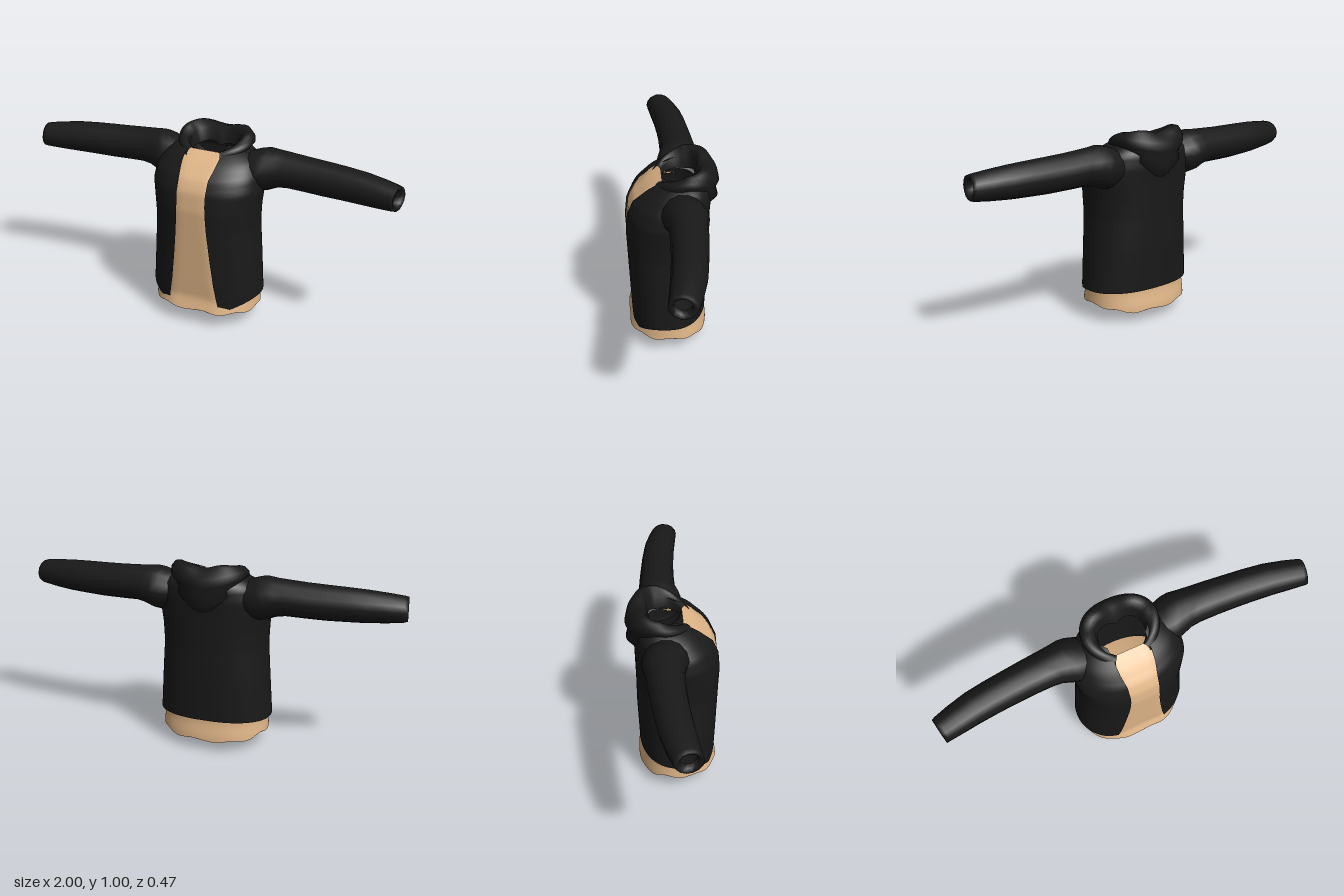
import * as THREE from 'three';

const jacketBlack = new THREE.MeshStandardMaterial({ name: 'jacket black', color: 0x191919, side: THREE.DoubleSide });
const shirtTan = new THREE.MeshStandardMaterial({ name: 'shirt tan', color: 0xe0b688, side: THREE.DoubleSide });
const liningBrown = new THREE.MeshStandardMaterial({ name: 'lining brown', color: 0x8a5c3a, side: THREE.DoubleSide });

const { lerp, smoothstep, clamp } = THREE.MathUtils;

// Grid surface from point(row, col); closed wraps the columns, skip drops quads
function surface(name, material, rows, cols, point, closed = false, skip = null) {
  const pos = [], index = [], n = closed ? cols : cols + 1;
  for (let i = 0; i <= rows; i++)
    for (let j = 0; j < n; j++) pos.push(...point(i, j));
  for (let i = 0; i < rows; i++)
    for (let j = 0; j < cols; j++) {
      const a = i * n + j, b = i * n + (j + 1) % n, c = a + n, d = b + n;
      if (skip) {
        const mid = [0, 1, 2].map(k => (pos[a * 3 + k] + pos[b * 3 + k] + pos[c * 3 + k] + pos[d * 3 + k]) / 4);
        if (skip(...mid)) continue;
      }
      index.push(a, b, d, a, d, c);
    }
  const geo = new THREE.BufferGeometry();
  geo.setAttribute('position', new THREE.Float32BufferAttribute(pos, 3));
  geo.setIndex(index);
  geo.computeVertexNormals();
  const mesh = new THREE.Mesh(geo, material);
  mesh.name = name;
  return mesh;
}

// Linear lookup in a table whose first column is the key
function lookup(table, key) {
  let i = 0;
  while (i < table.length - 2 && key > table[i + 1][0]) i++;
  const a = table[i], b = table[i + 1];
  const t = clamp((key - a[0]) / (b[0] - a[0]), 0, 1);
  return a.slice(1).map((v, k) => lerp(v, b[k + 1], t));
}

// Torso: height, half width, front z, back z
const TORSO = [
  [0.05, 0.295, 0.22, -0.168], [0.17, 0.30, 0.23, -0.172], [0.4, 0.285, 0.237, -0.182],
  [0.55, 0.275, 0.242, -0.184], [0.65, 0.28, 0.246, -0.187], [0.75, 0.292, 0.236, -0.19],
  [0.82, 0.282, 0.206, -0.195], [0.885, 0.25, 0.142, -0.19], [0.925, 0.19, 0.085, -0.17],
  [0.945, 0.13, 0.04, -0.14],
];
// Half width of the front opening by height
const OPENING = [[0.09, 0.145], [0.25, 0.118], [0.4, 0.1], [0.55, 0.085], [0.7, 0.077], [0.82, 0.08], [0.87, 0.092], [0.945, 0.1]];
const ROUND = 0.9;

function torsoPoint(y, a, insetX = 0, insetZ = 0) {
  const [w, zf, zb] = lookup(TORSO, y);
  const bend = v => Math.sign(v) * Math.abs(v) ** ROUND;
  return [(w - insetX) * bend(Math.sin(a)), y, (zf + zb) / 2 + ((zf - zb) / 2 - insetZ) * bend(Math.cos(a))];
}

// Angle at which the jacket's front edge lies
const edgeAngle = y => Math.asin((lookup(OPENING, y)[0] / lookup(TORSO, y)[0]) ** (1 / ROUND));

// Openings that let the sleeves run into the body
const armhole = (x, y, z) => Math.abs(x) > 0.12 && Math.hypot(y - 0.83, z - 0.005) < 0.05;

function jacketBody() {
  const rows = 48, cols = 72;
  return surface('jacketBody', jacketBlack, rows, cols, (i, j) => {
    const u = j / cols, s = 1 - Math.abs(2 * u - 1);
    const hem = 0.09 + 0.07 * Math.sin(Math.min(s / 0.4, 1) * Math.PI / 2) + 0.012 * s;
    const y = lerp(hem, 0.945, i / rows), a0 = edgeAngle(y);
    return torsoPoint(y, lerp(a0, 2 * Math.PI - a0, u));
  }, false, armhole);
}

// Wavy lower edge of the shirt
function shirtHem(a) {
  const s = (1 - Math.cos(a)) / 2;
  return 0.09 - 0.03 * smoothstep(s, 0.6, 1) + 0.006 * Math.sin(9 * a);
}

// Shirt surface: flat across the jacket opening, flared at the hem
function shirtPoint(y, a, inset) {
  const flare = 1 - smoothstep(y, 0.06, 0.17);
  const p = torsoPoint(y, a, 0.02 - 0.008 * flare + inset, 0.007 - 0.016 * flare + inset);
  const flat = torsoPoint(y, edgeAngle(y))[2] - 0.004 - inset + 0.02 * flare;
  p[2] = Math.min(p[2], flat) + 0.015 * flare * Math.max(0, Math.cos(a));
  p[1] -= (0.012 + inset) * smoothstep(y, 0.75, 0.85);
  return p;
}

function shirtLayer(name, material, bottom, top, inset) {
  const rows = 48, cols = 72;
  return surface(name, material, rows, cols, (i, j) => {
    const a = j / cols * Math.PI * 2;
    return shirtPoint(lerp(bottom(a), top, i / rows), a, inset);
  }, true, armhole);
}

// Crumpled underside, stepping inward from the hem to a low point
function underside(name, material, steps) {
  const cols = 36;
  return surface(name, material, steps.length - 1, cols, (i, j) => {
    const a = j / cols * Math.PI * 2, [k, drop] = steps[i];
    const hem = shirtHem(a), p = shirtPoint(hem, a, 0);
    const crumple = k > 0.1 && k < 0.95 ? 0.04 * Math.sin(7 * a + 2) + 0.025 * Math.sin(13 * a) : 0;
    const r = k + crumple;
    return [p[0] * r, lerp(hem, 0.002, drop) + crumple * 0.1, lerp(0.07, p[2], r)];
  }, true);
}

// Sleeve: x, centre y, half height, centre z, half depth
const SLEEVE = [
  [0.15, 0.825, 0.07, -0.035, 0.09], [0.2, 0.825, 0.092, -0.04, 0.105], [0.26, 0.827, 0.11, -0.046, 0.117],
  [0.3, 0.834, 0.11, -0.052, 0.112], [0.35, 0.842, 0.097, -0.055, 0.1], [0.4, 0.845, 0.091, -0.054, 0.095],
  [0.5, 0.841, 0.089, -0.05, 0.091], [0.6, 0.838, 0.088, -0.043, 0.088], [0.7, 0.837, 0.085, -0.034, 0.086],
  [0.8, 0.835, 0.081, -0.022, 0.083], [0.9, 0.832, 0.073, -0.003, 0.076], [0.97, 0.83, 0.065, 0.012, 0.069],
  [0.988, 0.83, 0.06, 0.018, 0.066], [0.98, 0.831, 0.041, 0.016, 0.042], [0.95, 0.831, 0.039, 0.014, 0.04],
];

function sleeve(name, side) {
  const cols = 14;
  return surface(name, jacketBlack, SLEEVE.length - 1, cols, (i, j) => {
    const [x, cy, ry, cz, rz] = SLEEVE[i], a = j / cols * Math.PI * 2;
    const dz = rz * Math.cos(a), tilt = 0.18 * smoothstep(x, 0.6, 0.97);
    return [side * (x - tilt * dz), cy + ry * Math.sin(a), cz + dz];
  }, true);
}

// Hood profiles from outer base over the rim to the inside: radius factor, height
const HOOD_BACK = [[0.68, 0.75], [0.97, 0.81], [0.89, 0.86], [1, 0.9], [0.95, 0.94], [0.8, 0.975], [0.5, 0.985], [0.32, 0.96], [0.22, 0.89]];
const HOOD_SIDE = [[0.75, 0.86], [0.86, 0.89], [0.88, 0.915], [1, 0.945], [0.99, 0.97], [0.9, 0.99], [0.76, 0.993], [0.62, 0.96], [0.56, 0.89]];
const HOOD_FRONT = [[1.1, 0.86], [1.14, 0.88], [1.1, 0.895], [1.06, 0.91], [1.01, 0.92], [0.93, 0.926], [0.87, 0.922], [0.83, 0.91], [0.8, 0.885]];

function hood() {
  const cols = 44, reach = 155;
  return surface('hood', jacketBlack, HOOD_BACK.length - 1, cols, (i, j) => {
    const deg = lerp(-reach, reach, j / cols), d = Math.abs(deg), a = deg * Math.PI / 180;
    const [from, to, t] = d < 90 ? [HOOD_BACK, HOOD_SIDE, smoothstep(d, 0, 90)]
      : [HOOD_SIDE, HOOD_FRONT, (d - 90) / (reach - 90)];
    const k = lerp(from[i][0], to[i][0], t);
    const peak = d < 90 ? 0.015 * Math.sin(2 * a) ** 2 * smoothstep(i, 3, 5) : 0;
    const y = lerp(from[i][1], to[i][1], t) + peak;
    return [0.2 * k * Math.sin(a), y, -0.07 - 0.165 * k * Math.cos(a)];
  });
}

export function createModel() {
  const model = new THREE.Group();
  model.name = 'hoodedJacket';
  model.add(
    jacketBody(),
    shirtLayer('shirtBody', shirtTan, shirtHem, 0.93, 0),
    shirtLayer('neckLining', jacketBlack, () => 0.5, 0.925, 0.008),
    underside('shirtUnderside', liningBrown, [[1, 0], [0.85, 0.03], [0.66, 0.08]]),
    underside('innerLining', jacketBlack, [[0.7, 0.08], [0.5, 0.4], [0.28, 0.75], [0.02, 1]]),
    sleeve('leftSleeve', 1),
    sleeve('rightSleeve', -1),
    hood(),
  );
  return model;
}
